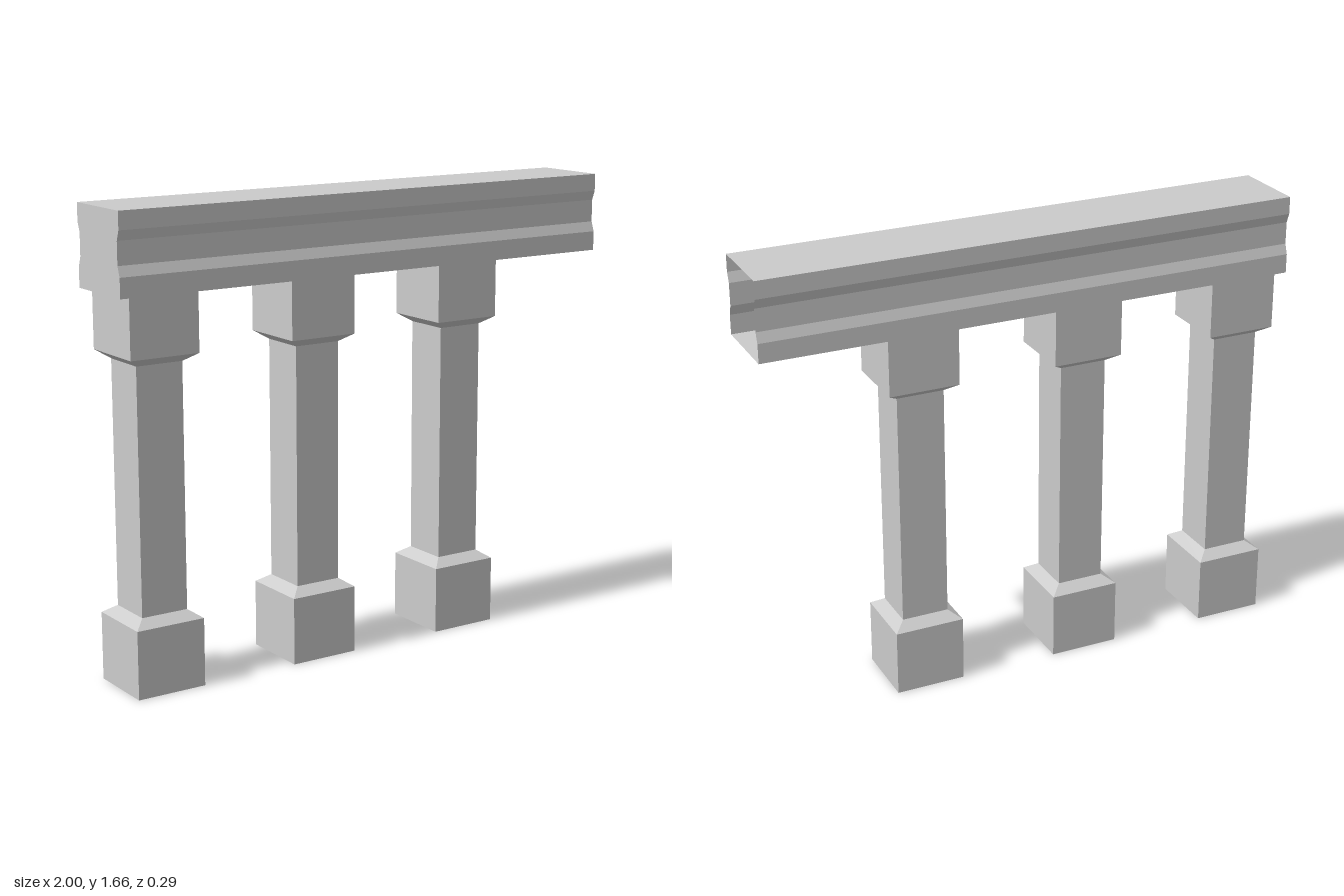
import * as THREE from 'three';

const material = new THREE.MeshStandardMaterial({ color: 0xcccccc, flatShading: true, side: THREE.DoubleSide });

// Square pillar: plinth, chamfer, shaft, chamfer, capital; open at both ends
function createColumnGeometry() {
  const profile = [
    [0.129, 0], [0.129, 0.243], [0.087, 0.272],
    [0.087, 1.137], [0.129, 1.166], [0.129, 1.406],
  ].map(([half, y]) => new THREE.Vector2(half * Math.SQRT2, y));
  return new THREE.LatheGeometry(profile, 4, Math.PI / 4);
}

// Front half of the beam section (z, y) from bottom to top, mirrored to the back
function createBeamSection() {
  const front = [
    [0.143, 1.375], [0.143, 1.445], [0.13, 1.481],
    [0.13, 1.562], [0.143, 1.597], [0.143, 1.66],
  ];
  const back = front.map(([z, y]) => [-z, y]).reverse();
  return [...front, ...back];
}

// Long walls swept along x, with both ends left open
function createBeamWalls(section) {
  const positions = [];
  section.forEach(([z0, y0], i) => {
    const [z1, y1] = section[(i + 1) % section.length];
    const a = [-1, y0, z0], b = [1, y0, z0], c = [1, y1, z1], d = [-1, y1, z1];
    positions.push(...a, ...b, ...c, ...a, ...c, ...d);
  });
  const geometry = new THREE.BufferGeometry();
  geometry.setAttribute('position', new THREE.Float32BufferAttribute(positions, 3));
  geometry.computeVertexNormals();
  return geometry;
}

export function createModel() {
  const model = new THREE.Group();
  model.name = 'colonnade';
  const add = (name, geometry, parent = model) => {
    const mesh = new THREE.Mesh(geometry, material);
    mesh.name = name;
    parent.add(mesh);
    return mesh;
  };

  // Evenly spaced columns, set towards the closed end of the beam
  const columnGeometry = createColumnGeometry();
  for (let i = 0; i < 3; i++) {
    add(`column${i + 1}`, columnGeometry).position.x = -0.832 + i * 0.624;
  }

  // Hollow grooved beam, closed only at the -x end
  const beam = new THREE.Group();
  beam.name = 'beam';
  model.add(beam);
  const section = createBeamSection();
  add('beamWalls', createBeamWalls(section), beam);
  const endShape = new THREE.Shape(section.map(([z, y]) => new THREE.Vector2(z, y)));
  const end = new THREE.ShapeGeometry(endShape).rotateY(-Math.PI / 2);
  add('beamEnd', end, beam).position.x = -1;

  return model;
}
